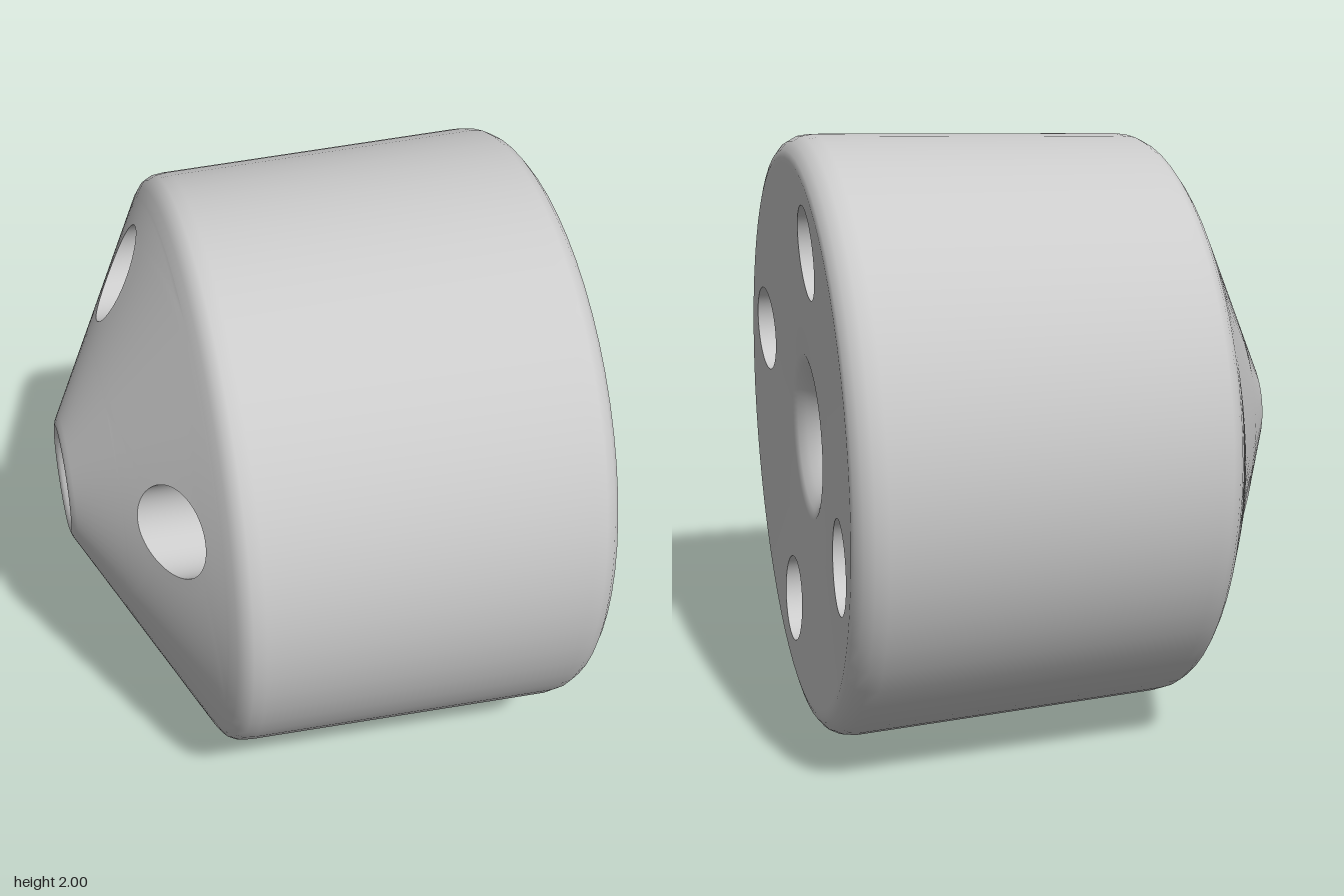
import * as THREE from 'three';
import { mergeGeometries, mergeVertices } from 'three/addons/utils/BufferGeometryUtils.js';

const SEG = 64, HOLE_R = 0.15, PHASE = THREE.MathUtils.degToRad(20);
const coneX = (r) => -0.81 + (r - 0.19) * 0.535; // tapered end
const faceX = (r) => 0.8 - (0.91 - r) * 0.06; // shallow dished end
const CONE = { rc: 0.675, half: 0.22, x: coneX };
const FACE = { rc: 0.7, half: 0.21, x: faceX };

// Surface of rows i by a closed loop j; the normal points along di x dj.
function loopGrid(rows, point) {
  const pos = [], index = [];
  for (let i = 0; i <= rows; i++)
    for (let j = 0; j < SEG; j++) pos.push(...point(i / rows, (j / SEG) * Math.PI * 2));
  for (let i = 0; i < rows; i++)
    for (let j = 0; j < SEG; j++) {
      const n = (j + 1) % SEG, a = i * SEG, b = a + SEG;
      index.push(a + j, b + j, a + n, b + j, b + n, a + n);
    }
  const g = new THREE.BufferGeometry();
  g.setAttribute('position', new THREE.Float32BufferAttribute(pos, 3));
  g.setIndex(index);
  return g;
}

// Polar coordinates (r, angle) of a point on the rim of a hole
function rim(end, phi) {
  const u = end.rc + HOLE_R * Math.cos(phi), v = HOLE_R * Math.sin(phi);
  return [Math.hypot(u, v), Math.atan2(v, u)];
}

const toXYZ = (x, r, a) => [x, r * Math.sin(a), r * Math.cos(a)];

// Evenly spaced walk around a square, corners at the diagonals
function square(phi) {
  const side = (p) => {
    const d = Math.abs(Math.atan2(Math.sin(p), Math.cos(p)));
    return THREE.MathUtils.clamp(2 - d / (Math.PI / 4), -1, 1);
  };
  return [side(phi), side(phi - Math.PI / 2)];
}

// Quarter sector of an end surface, from the hole rim out to the sector border
function sector(end, centre, flip) {
  return loopGrid(8, (s, phi) => {
    const t = flip ? 1 - s : s;
    const [r0, a0] = rim(end, phi), [u, v] = square(phi);
    const r = THREE.MathUtils.lerp(r0, end.rc + end.half * u, t);
    const a = THREE.MathUtils.lerp(a0, (Math.PI / 4) * v, t);
    return toXYZ(end.x(r), r, centre + a);
  });
}

// Wall of a drilled hole, running from the dished end to the tapered end
function holeWall(centre) {
  return loopGrid(1, (s, phi) => {
    const end = s === 0 ? FACE : CONE;
    const [r, a] = rim(end, phi);
    return toXYZ(end.x(r), r, centre + a);
  });
}

// Turned surface about the x axis from [radius, x] pairs
function turned(profile) {
  const g = new THREE.LatheGeometry(profile.map(([r, x]) => new THREE.Vector2(r, x)), SEG, -PHASE - Math.PI / 4);
  return g.rotateZ(-Math.PI / 2);
}

export function createModel() {
  const group = new THREE.Group();
  group.name = 'taperedDrum';
  const material = new THREE.MeshStandardMaterial({ color: 0xcccccc });
  const add = (name, geometry) => {
    const mesh = new THREE.Mesh(geometry, material);
    mesh.name = name;
    mesh.position.y = 1;
    group.add(mesh);
  };
  const centres = [0, 1, 2, 3].map((k) => PHASE + (k * Math.PI) / 2);

  // Outer drum wall with rounded shoulders
  add('drumWall', turned([
    [0.895, coneX(0.895)], [0.93, coneX(0.93)], [0.955, -0.395], [0.968, -0.37], [0.973, -0.33],
    [1.0, 0.7], [0.994, 0.742], [0.977, 0.774], [0.95, 0.795], [0.928, 0.801], [0.91, faceX(0.91)],
  ]));

  // Central bore, flared at the dished end and eased at the tip
  add('centreBore', turned([
    [0.49, faceX(0.49)], [0.28, faceX(0.28)], [0.25, 0.75], [0.215, 0.725], [0.18, 0.685], [0.15, 0.63],
    [0.13, 0.55], [0.125, 0.48], [0.125, -0.73], [0.135, -0.775], [0.155, -0.8], [0.18, -0.81],
    [0.2, coneX(0.2)], [0.22, coneX(0.22)], [0.455, coneX(0.455)],
  ]));

  // End surfaces, each made of four sectors with a hole
  for (const [name, end, flip] of [['taperedEnd', CONE, false], ['dishedEnd', FACE, true]]) {
    const g = mergeVertices(mergeGeometries(centres.map((c) => sector(end, c, flip))), 1e-4);
    g.computeVertexNormals();
    add(name, g);
  }

  // Four through holes
  centres.forEach((c, k) => {
    const g = holeWall(c);
    g.computeVertexNormals();
    add('holeWall' + (k + 1), g);
  });
  return group;
}
